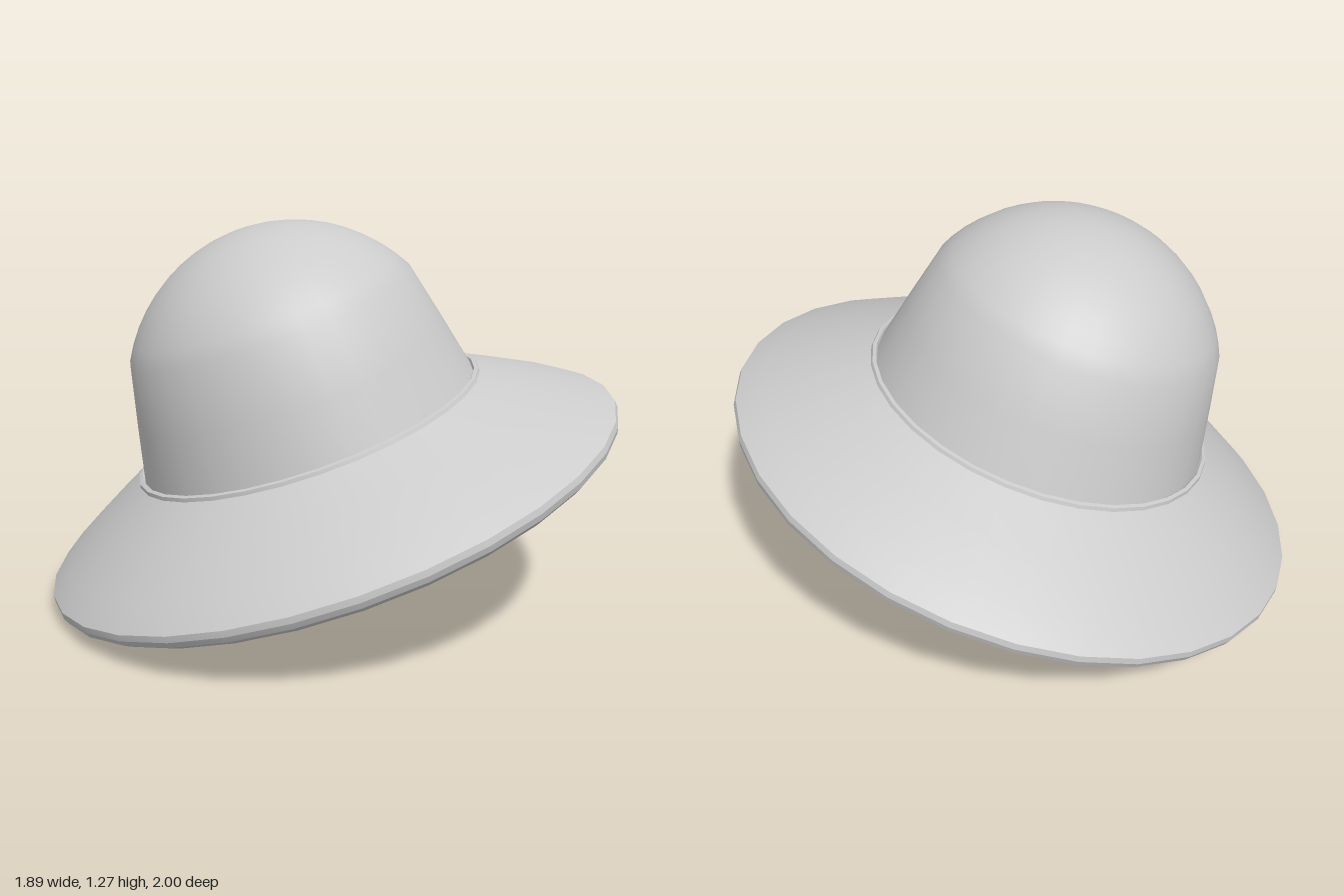
import * as THREE from 'three';
import { toCreasedNormals } from 'three/addons/utils/BufferGeometryUtils.js';

const SIDES = 32;
const TILT = 0.336;

// Turned part: profile of [radius, height], listed from the lowest point round the outside to the top
function turned(name, profile) {
  const points = profile.map(([r, h]) => new THREE.Vector2(r, h));
  const geometry = toCreasedNormals(new THREE.LatheGeometry(points, SIDES), 0.42);
  const mesh = new THREE.Mesh(geometry, new THREE.MeshStandardMaterial({ color: 0xcccccc }));
  mesh.name = name;
  return mesh;
}

export function createModel() {
  const saucer = new THREE.Group();
  saucer.name = 'saucer';

  // Small nozzle under the centre, with a shallow recess
  saucer.add(turned('bottomNozzle', [
    [0, -0.276], [0.038, -0.276], [0.045, -0.287], [0.085, -0.275],
    [0.122, -0.25], [0.134, -0.24], [0.134, -0.228], [0.122, -0.222],
  ]));

  // Shallow cone plate with a raised edge
  saucer.add(turned('bottomPlate', [
    [0.122, -0.222], [0.28, -0.183], [0.45, -0.156], [0.46, -0.15], [0.46, -0.134],
  ]));

  // Hull underside, curling up to the rim
  saucer.add(turned('underside', [
    [0.45, -0.132], [0.68, -0.1], [0.87, -0.069], [0.92, -0.059], [0.965, -0.04], [0.992, -0.02],
  ]));

  // Narrow outer band
  saucer.add(turned('rim', [[0.992, -0.02], [1, 0], [0.998, 0.02]]));

  // Sloping upper hull
  saucer.add(turned('upperHull', [[0.998, 0.02], [0.92, 0.075], [0.76, 0.165], [0.605, 0.248]]));

  // Lip around the foot of the dome
  saucer.add(turned('domeCollar', [[0.605, 0.248], [0.602, 0.26], [0.59, 0.263], [0.582, 0.252]]));

  // Tapered cabin wall closed by a spherical cap
  const capRadius = 0.559, capCentre = 0.371, capAngle = 1.068, steps = 10;
  const dome = [[0.585, 0.25], [0.54, 0.44]];
  for (let i = 0; i <= steps; i++) {
    const a = capAngle * (1 - i / steps);
    dome.push([capRadius * Math.sin(a), capCentre + capRadius * Math.cos(a)]);
  }
  saucer.add(turned('dome', dome));

  // Lean the whole craft toward its right
  saucer.rotation.z = TILT;
  saucer.position.y = 0.36;

  const model = new THREE.Group();
  model.name = 'flyingSaucer';
  model.add(saucer);
  return model;
}
